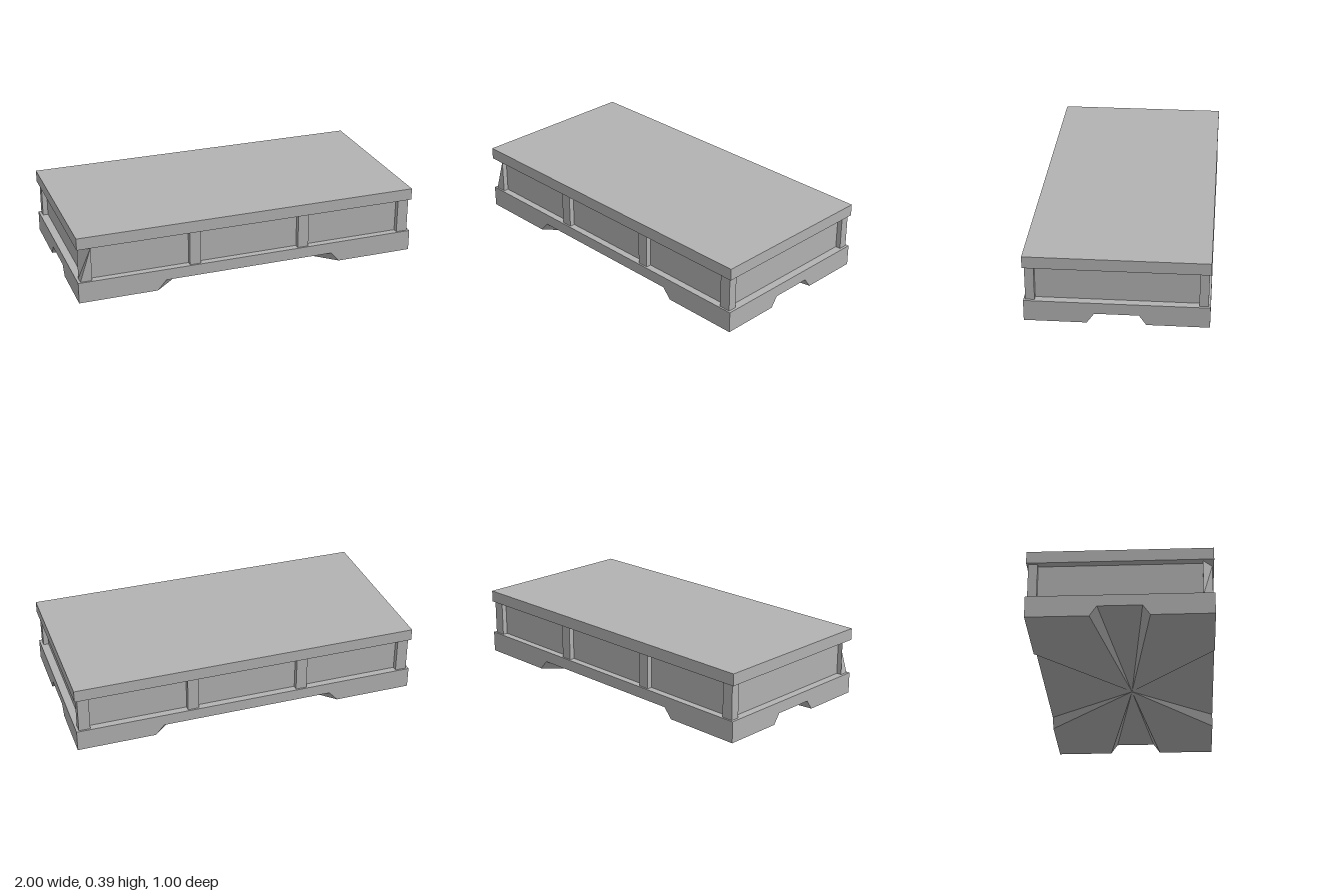
import * as THREE from 'three';

const stone = new THREE.MeshStandardMaterial({ color: 0xb2b2b2 });
stone.name = 'grey stone';

// Box given by its lower and upper corners
function box(name, [x0, y0, z0], [x1, y1, z1]) {
  const geo = new THREE.BoxGeometry(x1 - x0, y1 - y0, z1 - z0);
  geo.translate((x0 + x1) / 2, (y0 + y1) / 2, (z0 + z1) / 2);
  const mesh = new THREE.Mesh(geo, stone);
  mesh.name = name;
  return mesh;
}

// Plinth: notched outline with straight walls and an underside fanned to the middle
function plinth(top) {
  const n = 0.057;
  const half = [
    [1, 0, 0.5], [1, 0, 0.16], [1, n, 0.12], [1, n, -0.12], [1, 0, -0.16],
    [1, 0, -0.5], [0.55, 0, -0.5], [0.5, n, -0.5], [-0.5, n, -0.5], [-0.55, 0, -0.5],
  ];
  const loop = [...half, ...half.map(([x, y, z]) => [-x, y, -z])];
  const hub = [0, 0.003, 0.02], cap = [0, top, 0];
  const pos = [];
  loop.forEach((p, i) => {
    const q = loop[(i + 1) % loop.length];
    const P = [p[0], top, p[2]], Q = [q[0], top, q[2]];
    pos.push(...p, ...q, ...Q, ...p, ...Q, ...P); // wall
    pos.push(...cap, ...P, ...Q); // upper face
    pos.push(...hub, ...q, ...p); // underside
  });
  const geo = new THREE.BufferGeometry();
  geo.setAttribute('position', new THREE.Float32BufferAttribute(pos, 3));
  geo.computeVertexNormals();
  const mesh = new THREE.Mesh(geo, stone);
  mesh.name = 'plinth';
  return mesh;
}

export function createModel() {
  const group = new THREE.Group();
  group.name = 'stone tomb';
  const low = 0.122, high = 0.322;

  group.add(plinth(low));
  group.add(box('chest', [-0.955, low, -0.46], [0.955, high, 0.46]));
  group.add(box('lid', [-1, high, -0.5], [1, 0.39, 0.5]));

  // Posts along both long sides
  const spans = [[-0.985, -0.92], [-0.357, -0.293], [0.293, 0.357], [0.92, 0.985]];
  for (const side of [-1, 1]) {
    spans.forEach(([a, b], i) => {
      const corner = i === 0 || i === 3;
      const z0 = side > 0 ? 0.44 : -0.49;
      const post = box(corner ? 'cornerPost' : 'middlePost', [a, low, z0], [b, high, z0 + 0.05]);
      // One corner post is chipped: its outer upper corner is drawn in
      if (i === 0 && side > 0) {
        post.name = 'chippedCornerPost';
        post.geometry = post.geometry.toNonIndexed();
        const p = post.geometry.attributes.position;
        for (let k = 0; k < p.count; k++) {
          if (p.getX(k) < -0.95 && p.getY(k) > 0.2 && p.getZ(k) > 0.465) p.setX(k, b);
        }
        post.geometry.computeVertexNormals();
      }
      group.add(post);
    });
  }
  return group;
}
